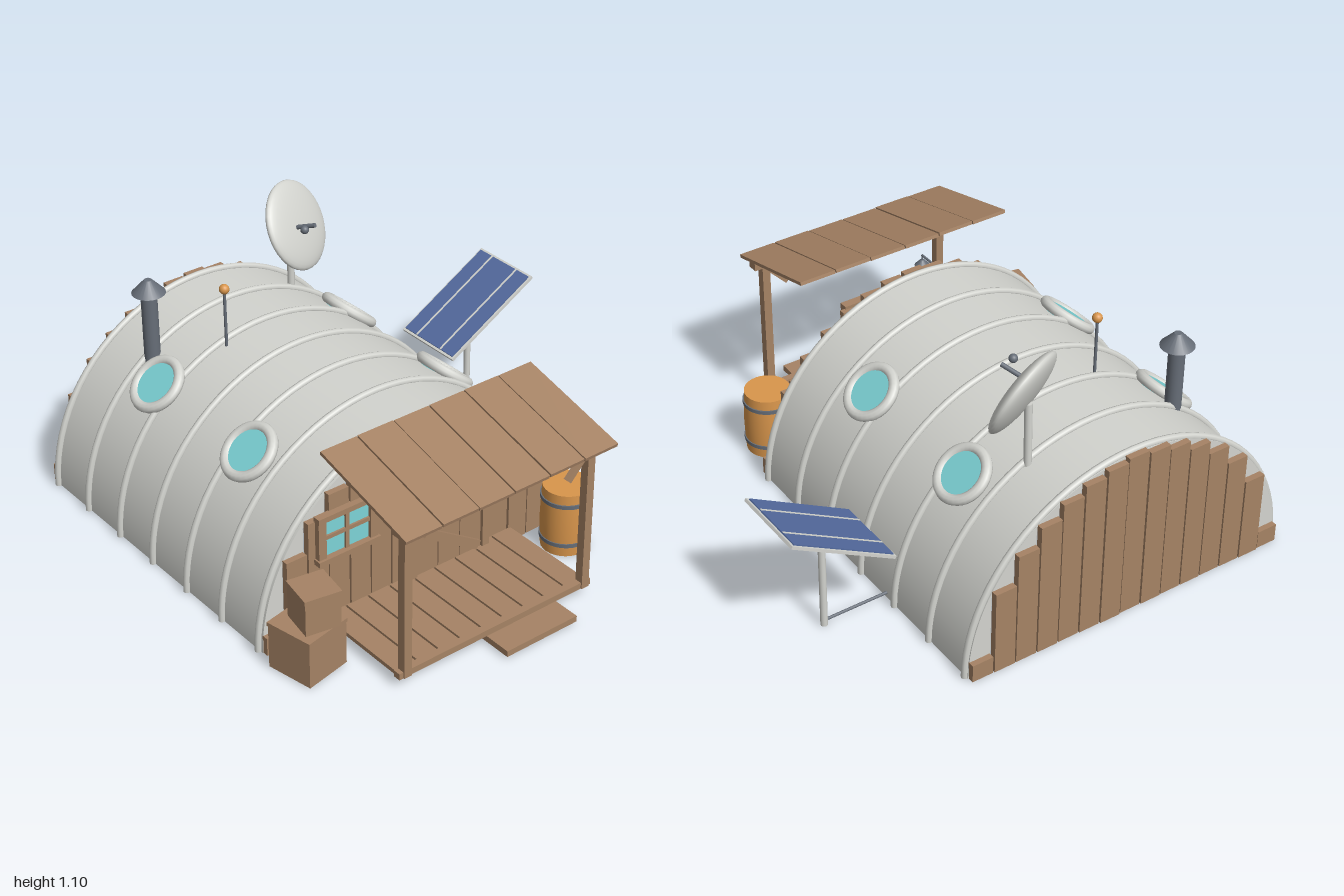
import * as THREE from 'three';

const mat = (name, color, side = THREE.FrontSide) => {
  const m = new THREE.MeshStandardMaterial({ color, side });
  m.name = name;
  return m;
};

export function createModel() {
  const M = {
    metal: mat('light metal', 0xd3d4cf),
    sheet: mat('light metal sheet', 0xd3d4cf, THREE.DoubleSide),
    dark: mat('dark metal', 0x676e78),
    wood: mat('wood', 0xa68365),
    orange: mat('orange paint', 0xd9964c),
    glass: mat('teal glass', 0x7dd3d7),
    solar: mat('solar blue', 0x546b9f),
  };
  const model = new THREE.Group();
  model.name = 'hut';
  const V = (x, y, z) => new THREE.Vector3(x, y, z);

  const add = (name, geo, m, x = 0, y = 0, z = 0, parent = model) => {
    const mesh = new THREE.Mesh(geo, m);
    mesh.name = name;
    mesh.position.set(x, y, z);
    parent.add(mesh);
    return mesh;
  };
  const group = (name, x = 0, y = 0, z = 0) => {
    const g = new THREE.Group();
    g.name = name;
    g.position.set(x, y, z);
    model.add(g);
    return g;
  };
  // box given by its min and max corners
  const box = (name, m, x0, x1, y0, y1, z0, z1, parent) =>
    add(name, new THREE.BoxGeometry(x1 - x0, y1 - y0, z1 - z0), m,
      (x0 + x1) / 2, (y0 + y1) / 2, (z0 + z1) / 2, parent);
  // round rod or square beam between two points
  const UP = V(0, 1, 0);
  const span = (name, geo, m, a, b) => {
    const mesh = add(name, geo, m);
    mesh.position.copy(a).add(b).multiplyScalar(0.5);
    mesh.quaternion.setFromUnitVectors(UP, b.clone().sub(a).normalize());
  };
  const rod = (name, m, r, a, b) =>
    span(name, new THREE.CylinderGeometry(r, r, a.distanceTo(b), 12), m, a, b);
  const beam = (name, m, w, a, b) =>
    span(name, new THREE.BoxGeometry(w, a.distanceTo(b), w), m, a, b);
  let seed = 7;
  const jitter = (s) => {
    seed = (seed * 16807) % 2147483647;
    return (seed / 2147483647 - 0.5) * 2 * s;
  };

  // arched shell and ribs
  const CX = -0.227, R = 0.706, Z0 = -0.97, Z1 = 0.43;
  const shell = new THREE.CylinderGeometry(R, R, Z1 - Z0, 32, 1, true, Math.PI / 2, Math.PI);
  shell.rotateX(Math.PI / 2);
  add('shell', shell, M.sheet, CX, 0, (Z0 + Z1) / 2);
  const rib = new THREE.TorusGeometry(R + 0.004, 0.014, 8, 40, Math.PI);
  for (let i = 0; i < 7; i++) add('rib', rib, M.metal, CX, 0, -0.953 + i * 0.2267);

  // stepped plank walls, with sheet metal filling the steps under the arch
  const N = 15, PW = 2 * R / N;
  const infill = new THREE.Shape();
  infill.moveTo(-R, 0);
  for (let i = 0; i < N; i++) {
    const x = -R + (i + 0.5) * PW;
    const outer = Math.min(R, Math.abs(x) + PW / 2);
    const arch = Math.sqrt(R * R - outer * outer);
    const h = Math.max(0.075, arch + 0.008);
    for (const [name, z] of [['frontWallPlank', 0.443], ['backWallPlank', -0.983]])
      add(name, new THREE.BoxGeometry(PW - 0.006, h, 0.026), M.wood, CX + x, h / 2, z + jitter(0.003));
    infill.lineTo(x - PW / 2, Math.max(0, arch - 0.02));
    infill.lineTo(x + PW / 2, Math.max(0, arch - 0.02));
  }
  infill.absarc(0, 0, R, 0, Math.PI, false);
  const infillGeo = new THREE.ShapeGeometry(infill, 32);
  add('frontInfill', infillGeo, M.sheet, CX, 0, Z1);
  add('backInfill', infillGeo, M.sheet, CX, 0, Z0).rotation.y = Math.PI;

  // round roof windows
  const ring = new THREE.TorusGeometry(0.102, 0.021, 10, 32).rotateX(Math.PI / 2);
  const pane = new THREE.CylinderGeometry(0.1, 0.1, 0.05, 32);
  for (const s of [-1, 1]) for (const z of [0.03, -0.57]) {
    const g = group('roofWindow', CX + s * 0.46, 0.555, z);
    g.rotation.z = -s * 0.69;
    add('roofWindowRing', ring, M.metal, 0, 0, 0, g);
    add('roofWindowGlass', pane, M.glass, 0, -0.015, 0, g);
  }

  // door with frame, porthole, knob and loose board
  const door = group('door');
  for (let i = 0; i < 3; i++)
    box('doorPlank', M.wood, -0.265 + i * 0.104, -0.165 + i * 0.104, 0.04, 0.62, 0.45, 0.476, door);
  box('doorFrameLeft', M.wood, 0.047, 0.08, 0.04, 0.645, 0.45, 0.485, door);
  box('doorFrameRight', M.wood, -0.3, -0.267, 0.04, 0.645, 0.45, 0.485, door);
  box('doorFrameTop', M.wood, -0.3, 0.08, 0.622, 0.645, 0.45, 0.486, door);
  add('doorPortholeRing', new THREE.TorusGeometry(0.046, 0.011, 10, 28), M.metal, -0.11, 0.49, 0.485, door);
  add('doorPortholeGlass', new THREE.CylinderGeometry(0.044, 0.044, 0.012, 28).rotateX(Math.PI / 2),
    M.glass, -0.11, 0.49, 0.48, door);
  add('doorKnob', new THREE.SphereGeometry(0.016, 16, 12), M.metal, 0.007, 0.32, 0.492, door);
  add('looseBoard', new THREE.BoxGeometry(0.3, 0.038, 0.014), M.wood, -0.11, 0.17, 0.493, door)
    .rotation.z = -0.57;

  // front window
  const win = group('frontWindow');
  box('windowGlass', M.glass, -0.69, -0.465, 0.325, 0.49, 0.456, 0.465, win);
  for (const x of [-0.695, -0.463]) box('windowSide', M.wood, x - 0.017, x + 0.017, 0.32, 0.5, 0.45, 0.48, win);
  box('windowTop', M.wood, -0.712, -0.446, 0.484, 0.506, 0.45, 0.482, win);
  box('windowSill', M.wood, -0.718, -0.442, 0.308, 0.33, 0.45, 0.49, win);
  box('windowBarUpright', M.wood, -0.588, -0.572, 0.33, 0.485, 0.456, 0.474, win);
  box('windowBarAcross', M.wood, -0.69, -0.465, 0.402, 0.418, 0.456, 0.473, win);

  // porch deck, step, posts and braces
  const D = 0.895 / 9;
  for (let i = 0; i < 9; i++)
    box('deckPlank', M.wood, -0.675 + i * D, -0.683 + (i + 1) * D, 0.045, 0.062, 0.455, 0.87);
  box('deckEdge', M.wood, -0.68, 0.222, 0.04, 0.066, 0.862, 0.892);
  box('step', M.wood, -0.275, 0.058, 0.01, 0.035, 0.86, 1.0);
  for (const [x, s] of [[-0.645, 1], [0.193, -1]]) {
    box('porchPost', M.wood, x - 0.017, x + 0.017, 0.04, 0.66, 0.862, 0.897);
    beam('porchBrace', M.wood, 0.022, V(x + s * 0.005, 0.645, 0.88), V(x + s * 0.1, 0.545, 0.88));
  }
  box('porchBeam', M.wood, -0.69, 0.245, 0.65, 0.682, 0.86, 0.905);

  // sloping porch roof
  const roof = group('porchRoof', -0.227, 0.732, 0.725);
  roof.rotation.x = 0.25;
  for (let i = 0; i < 6; i++)
    add('porchRoofPlank', new THREE.BoxGeometry(0.156, 0.014, 0.484), M.wood,
      -0.4025 + i * 0.161, jitter(0.002), 0, roof).rotation.y = jitter(0.005);

  // lantern on its bracket
  const LX = -0.363, LZ = 0.575;
  rod('lanternBracket', M.dark, 0.005, V(LX, 0.66, 0.45), V(LX, 0.66, LZ));
  rod('lanternHook', M.dark, 0.003, V(LX, 0.66, LZ), V(LX, 0.63, LZ));
  add('lanternCap', new THREE.CylinderGeometry(0.008, 0.031, 0.025, 16), M.dark, LX, 0.627, LZ);
  add('lanternBody', new THREE.CylinderGeometry(0.025, 0.025, 0.05, 16), M.orange, LX, 0.59, LZ);

  // crates
  for (const [x, z, y, w, h, turn] of [[-0.848, 0.585, 0.005, 0.2, 0.195, 0.2], [-0.828, 0.603, 0.2, 0.146, 0.15, -0.17]]) {
    const g = group('crate', x, y, z);
    g.rotation.y = turn;
    add('crateBody', new THREE.BoxGeometry(w - 0.006, h - 0.01, w - 0.006), M.wood, 0, h / 2 - 0.005, 0, g);
    add('crateLid', new THREE.BoxGeometry(w, 0.016, w), M.wood, 0, h - 0.008, 0, g);
  }

  // barrel; repeated rim points keep its top and bottom edges sharp
  const profile = [[0, 0], [0.093, 0], [0.093, 0], [0.096, 0.06], [0.098, 0.135],
    [0.096, 0.21], [0.093, 0.272], [0.093, 0.272], [0, 0.272]];
  const barrel = group('barrel', 0.362, 0.005, 0.6);
  add('barrelBody', new THREE.LatheGeometry(profile.map((p) => new THREE.Vector2(...p)), 28), M.orange, 0, 0, 0, barrel);
  for (const y of [0.05, 0.225])
    add('barrelHoop', new THREE.CylinderGeometry(0.1, 0.1, 0.016, 28), M.dark, 0, y, 0, barrel);

  // chimney and aerial
  add('chimney', new THREE.CylinderGeometry(0.032, 0.032, 0.34, 20), M.dark, -0.613, 0.7, -0.71);
  add('chimneyCap', new THREE.CylinderGeometry(0.015, 0.066, 0.055, 20), M.dark, -0.613, 0.893, -0.71);
  rod('aerial', M.dark, 0.006, V(-0.43, 0.65, -0.47), V(-0.43, 0.91, -0.47));
  add('aerialTip', new THREE.SphereGeometry(0.02, 16, 12), M.orange, -0.43, 0.92, -0.47);

  // lens-shaped dish on a post
  const dish = add('dish', new THREE.SphereGeometry(0.182, 36, 20), M.metal, 0.077, 0.932, -0.705);
  dish.scale.y = 0.23;
  dish.quaternion.setFromUnitVectors(UP, V(0.375, 0.425, 0.825).normalize());
  rod('dishPost', M.metal, 0.015, V(0.07, 0.6, -0.738), V(0.07, 0.9, -0.732));
  rod('dishArm', M.dark, 0.009, V(0.045, 0.955, -0.65), V(0.08, 0.98, -0.58));
  add('dishReceiver', new THREE.SphereGeometry(0.017, 16, 12), M.dark, 0.025, 0.98, -0.575);

  // solar panel, post and ground pipe
  const solar = group('solarPanel', 0.752, 0.455, -0.445);
  solar.rotation.z = 0.52;
  add('solarBack', new THREE.BoxGeometry(0.486, 0.012, 0.318), M.metal, 0, 0, 0, solar);
  add('solarCells', new THREE.BoxGeometry(0.466, 0.006, 0.3), M.solar, 0, 0.008, 0, solar);
  for (const z of [-0.075, 0.075])
    add('solarLine', new THREE.BoxGeometry(0.466, 0.004, 0.008), M.metal, 0, 0.011, z, solar);
  rod('solarPost', M.metal, 0.014, V(0.75, 0, -0.44), V(0.75, 0.422, -0.44));
  rod('groundPipe', M.dark, 0.006, V(0.46, 0.02, -0.44), V(0.75, 0.02, -0.44));

  return model;
}
